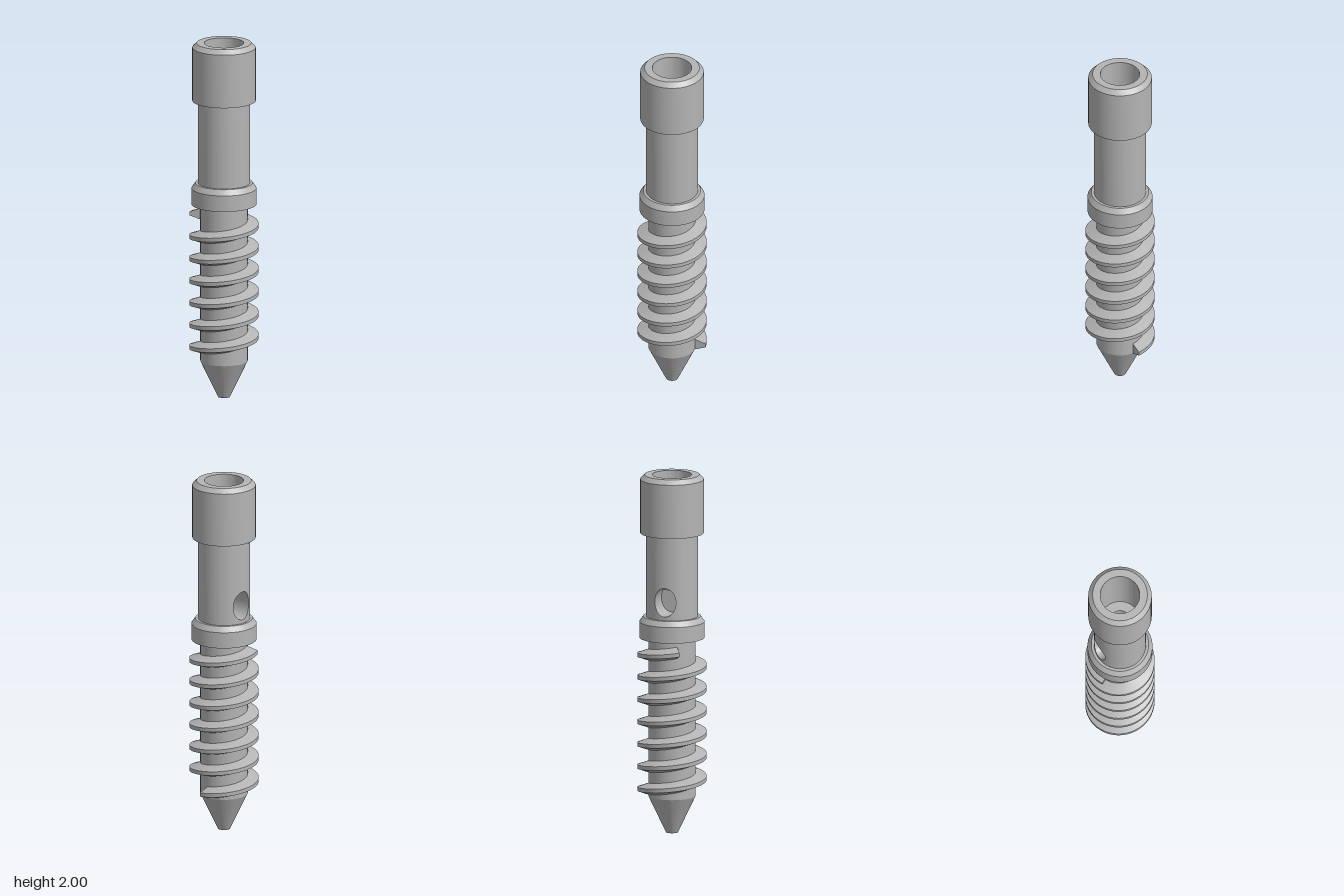
import * as THREE from 'three';
import { toCreasedNormals } from 'three/addons/utils/BufferGeometryUtils.js';

const SHAFT_R = 0.142, SHAFT_LOW = 1.21, SHAFT_TOP = 1.675;
const HOLE = { y: 1.31, a: 0.062, b: 0.08 };   // oval mouth of the cross hole
const BORE_R = 0.055, FLOOR = 1.362;           // narrow bore and its floor
const WINDOW = 0.7;                            // half angle of the drilled panel

// Surface from a rule f(i, j) -> [x, y, z]
function grid(nu, nv, f) {
  const pos = [], idx = [];
  for (let i = 0; i <= nu; i++) for (let j = 0; j <= nv; j++) pos.push(...f(i, j));
  for (let i = 0; i < nu; i++) for (let j = 0; j < nv; j++) {
    const a = i * (nv + 1) + j, b = a + nv + 1;
    idx.push(a, b, b + 1, a, b + 1, a + 1);
  }
  const g = new THREE.BufferGeometry();
  g.setAttribute('position', new THREE.Float32BufferAttribute(pos, 3));
  g.setIndex(idx);
  g.computeVertexNormals();
  return g;
}

const lathe = (pts, start = 0, length = Math.PI * 2) => toCreasedNormals(
  new THREE.LatheGeometry(pts.map(p => new THREE.Vector2(...p)), 80, start, length), 0.4);

// Back panel of the shaft, blending from a rectangle to the oval hole
function drilledPanel(angles) {
  const w = WINDOW * SHAFT_R, up = SHAFT_TOP - HOLE.y, down = HOLE.y - SHAFT_LOW, rings = 6;
  const g = grid(angles.length - 1, rings, (i, j) => {
    const c = Math.cos(angles[i]), s = Math.sin(angles[i]), t = j / rings;
    const outer = Math.min(w / Math.abs(c), (s > 0 ? up : down) / Math.abs(s));
    const inner = 1 / Math.hypot(c / HOLE.a, s / HOLE.b);
    const d = outer + (inner - outer) * t, phi = Math.PI + d * c / SHAFT_R;
    return [SHAFT_R * Math.sin(phi), HOLE.y + d * s, SHAFT_R * Math.cos(phi)];
  });
  const p = g.attributes.position, n = g.attributes.normal;
  for (let k = 0; k < p.count; k++) n.setXYZ(k, p.getX(k) / SHAFT_R, 0, p.getZ(k) / SHAFT_R);
  return g;
}

// Wall of the cross hole, running in to the axis but leaving the bore open
function holeWall(angles) {
  return grid(angles.length - 1, 1, (i, j) => {
    const c = Math.cos(angles[i]), s = Math.sin(angles[i]);
    const d = 1 / Math.hypot(c / HOLE.a, s / HOLE.b);
    const phi = Math.PI + d * c / SHAFT_R, x = SHAFT_R * Math.sin(phi), y = HOLE.y + d * s;
    const end = y > FLOOR ? -Math.sqrt(Math.max(0, BORE_R ** 2 - x * x)) : 0;
    return [x, y, j ? end : SHAFT_R * Math.cos(phi)];
  });
}

export function createModel() {
  const group = new THREE.Group();
  const steel = new THREE.MeshStandardMaterial({ color: 0xb4b4b4, side: THREE.DoubleSide });
  steel.name = 'steel grey';
  const add = (name, geometry) => {
    const mesh = new THREE.Mesh(geometry, steel);
    mesh.name = name;
    group.add(mesh);
    return mesh;
  };

  // Pointed tip, threaded core and chamfered collar
  add('tipAndCore', lathe([[0, 0], [0.033, 0], [0.13, 0.205], [0.13, 1.09]]));
  add('collar', lathe([[0.13, 1.09], [0.178, 1.09], [0.178, 1.18], [0.157, SHAFT_LOW], [SHAFT_R, SHAFT_LOW]]));

  // Head with chamfered rim and stepped bore
  add('headAndBore', lathe([[SHAFT_R, SHAFT_TOP], [0.174, SHAFT_TOP], [0.174, 1.975], [0.15, 2],
    [0.108, 2], [0.108, 1.6], [BORE_R, 1.6], [BORE_R, FLOOR]]));
  const floor = add('boreFloor', new THREE.CircleGeometry(BORE_R, 32, Math.PI, Math.PI).rotateX(-Math.PI / 2));
  floor.position.y = FLOOR;

  // Shaft with a cross hole at the back
  add('shaft', lathe([[SHAFT_R, SHAFT_LOW], [SHAFT_R, SHAFT_TOP]], Math.PI + WINDOW, 2 * (Math.PI - WINDOW)));
  const w = WINDOW * SHAFT_R, angles = [];
  for (let i = 0; i <= 64; i++) angles.push(-Math.PI + i * Math.PI / 32);
  for (const v of [SHAFT_TOP - HOLE.y, SHAFT_LOW - HOLE.y]) angles.push(Math.atan2(v, w), Math.atan2(v, -w));
  angles.sort((p, q) => p - q);
  add('drilledPanel', drilledPanel(angles));
  add('crossHole', holeWall(angles));
  const end = new THREE.CircleGeometry(1, 48).scale(HOLE.a, HOLE.b, 1).rotateY(Math.PI).translate(0, HOLE.y, 0);
  const p = end.attributes.position;
  for (let k = 0; k < p.count; k++) p.setY(k, Math.min(p.getY(k), FLOOR));
  add('crossHoleEnd', end);

  // Helical thread with a trapezoid section
  const section = [[0.125, -0.034], [0.19, -0.011], [0.19, 0.011], [0.125, 0.034]];
  const startAngle = Math.PI / 2, sweep = Math.PI * 2 * 6.33, pitch = 0.125, steps = 460;
  const point = (t, k) => {
    const a = startAngle + sweep * t, [r, h] = section[k];
    return [r * Math.sin(a), 0.237 + pitch * sweep * t / (Math.PI * 2) + h, r * Math.cos(a)];
  };
  add('thread', toCreasedNormals(grid(steps, 3, (i, j) => point(i / steps, j)), 0.3));
  const corner = (r, h) => (h ? 3 - r : r);
  add('threadStart', grid(1, 1, (i, j) => point(0, corner(i, j))));
  add('threadEnd', grid(1, 1, (i, j) => point(1, corner(j, i))));

  return group;
}
